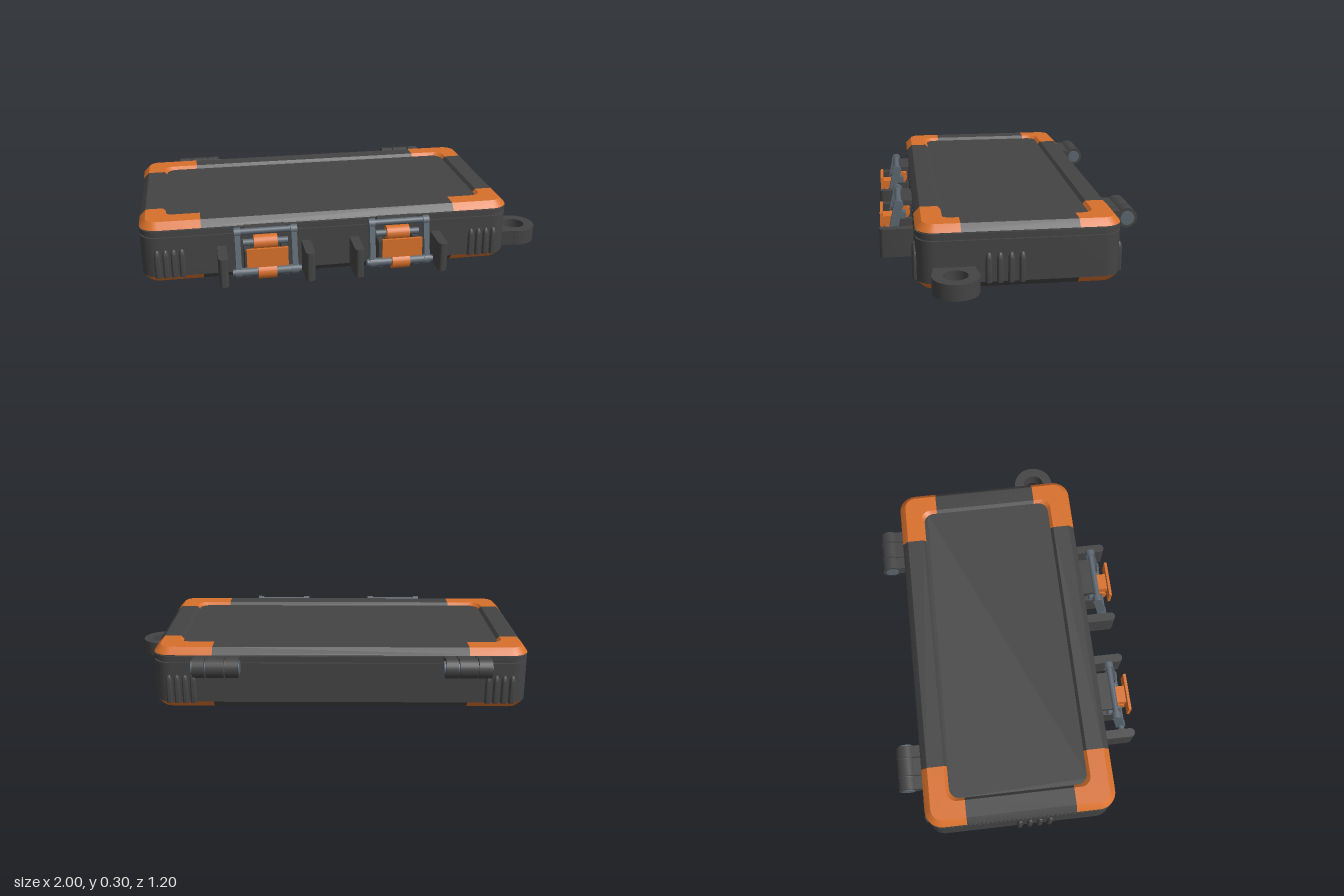
import * as THREE from 'three';
import { toCreasedNormals } from 'three/addons/utils/BufferGeometryUtils.js';

const mat = (name, color) => Object.assign(new THREE.MeshStandardMaterial({ color }), { name });

// Case footprint: centre, half sizes, corner radius, ends of the corner guards
const CX = -0.0925, CZ = -0.02, HW = 0.8925, HD = 0.46, R = 0.085, SX = 0.6075, SZ = 0.263, H = 0.3;
const dark = mat('darkPlastic', 0x444444);
const orange = mat('orangePlastic', 0xd8702b);
const steel = mat('steel', 0x5c6670);

function add(parent, name, geo, material, x = 0, y = 0, z = 0) {
  const m = new THREE.Mesh(geo, material);
  m.name = name;
  m.position.set(x, y, z);
  parent.add(m);
  return m;
}

const box = (w, h, d) => new THREE.BoxGeometry(w, h, d);
const rodX = (r, len) => new THREE.CylinderGeometry(r, r, len, 24).rotateZ(Math.PI / 2);

// Upright extrusion of a plan shape (shape y points to -z)
function upright(shape, h) {
  const g = new THREE.ExtrudeGeometry(shape, { depth: h, bevelEnabled: false, curveSegments: 12 });
  return toCreasedNormals(g.rotateX(-Math.PI / 2), 0.6);
}

// Rounded rectangular layer of the case
function slab(parent, name, y0, y1, inset) {
  const w = HW - inset, d = HD - inset, r = Math.max(R - inset, 0.05);
  const s = new THREE.Shape();
  s.absarc(w - r, d - r, r, 0, Math.PI / 2);
  s.absarc(-w + r, d - r, r, Math.PI / 2, Math.PI);
  s.absarc(-w + r, -d + r, r, Math.PI, Math.PI * 1.5);
  s.absarc(w - r, -d + r, r, Math.PI * 1.5, Math.PI * 2);
  s.closePath();
  add(parent, name, upright(s, y1 - y0), dark, CX, y0, CZ);
}

// Rim cross-section: [inset, height]
const RIM = [[0, 0.268], [0.004, 0.274], [0.03, 0.3], [0.112, 0.3], [0.128, 0.283]];

// Plan paths of one rim piece at a given inset
const paths = {
  corner(inset) {
    const r = Math.max(R - inset, 0.05), w = HW - inset, d = HD - inset;
    const pts = [[w, SZ]];
    for (let i = 0; i <= 10; i++) {
      const a = (i / 10) * Math.PI / 2;
      pts.push([w - r + r * Math.cos(a), d - r + r * Math.sin(a)]);
    }
    pts.push([SX, d]);
    return pts;
  },
  side: (inset) => [[HW - inset, -SZ], [HW - inset, SZ]],
  long: (inset) => [[SX, HD - inset], [-SX, HD - inset]],
};

// Sweep the rim section along a path, mirrored by sx, sz and upside down for the base
function rimPiece(path, sx, sz, top) {
  const rows = RIM.map(([inset, y]) => path(inset).map(([x, z]) => [x * sx, top ? y : H - y, z * sz]));
  const n = rows[0].length, index = [];
  const flip = sx * sz * (top ? 1 : -1) < 0;
  for (let j = 0; j < rows.length - 1; j++) {
    for (let i = 0; i < n - 1; i++) {
      const a = j * n + i, b = a + n, c = a + 1, d = b + 1;
      index.push(...(flip ? [a, c, b, b, c, d] : [a, b, c, b, d, c]));
    }
  }
  const g = new THREE.BufferGeometry();
  g.setAttribute('position', new THREE.Float32BufferAttribute(rows.flat(2), 3));
  g.setIndex(index);
  g.computeVertexNormals();
  return toCreasedNormals(g, 0.5);
}

function createRim(top) {
  const g = new THREE.Group();
  g.name = top ? 'lidRim' : 'baseRim';
  for (const s of [-1, 1]) {
    add(g, 'rimSide', rimPiece(paths.side, s, 1, top), dark, CX, 0, CZ);
    add(g, 'rimLong', rimPiece(paths.long, 1, s, top), dark, CX, 0, CZ);
    for (const t of [-1, 1]) add(g, 'cornerGuard', rimPiece(paths.corner, s, t, top), orange, CX, 0, CZ);
  }
  return g;
}

// Pointed grip ribs set half into the walls
function createRibs() {
  const g = new THREE.Group();
  g.name = 'gripRibs';
  const profile = [[0, 0], [0.015, 0], [0.015, 0.11], [0.012, 0.126], [0.007, 0.137], [0, 0.141]];
  const geo = toCreasedNormals(new THREE.LatheGeometry(profile.map(p => new THREE.Vector2(...p)), 16), 0.8);
  for (const s of [-1, 1]) {
    for (let i = 0; i < 4; i++) {
      add(g, 'sideRib', geo, dark, CX + s * HW, 0.03, -0.028 + i * 0.05);
      for (const t of [-1, 1]) add(g, 'wallRib', geo, dark, CX + s * (0.702 + i * 0.038), 0.03, CZ + t * HD);
    }
  }
  return g;
}

// Ring lug on the left side
function createLug() {
  const s = new THREE.Shape();
  s.moveTo(-0.12, -0.09);
  s.lineTo(-0.03, -0.1);
  s.absarc(0, 0, 0.105, -Math.PI * 0.59, Math.PI * 0.59);
  s.lineTo(-0.12, 0.09);
  s.closePath();
  s.holes.push(new THREE.Path().absarc(0, 0, 0.055, 0, Math.PI * 2, true));
  return upright(s, 0.075);
}

// Front guard fin with a rounded nose
function createFin() {
  const s = new THREE.Shape();
  s.moveTo(-0.022, 0.02);
  s.lineTo(-0.022, -0.133);
  s.absarc(0, -0.133, 0.022, Math.PI, Math.PI * 2);
  s.lineTo(0.022, 0.02);
  s.closePath();
  return upright(s, 0.14);
}

function createHinge(x) {
  const g = new THREE.Group();
  g.name = 'hinge';
  g.position.set(x, 0.233, -0.55);
  for (const [dx, w] of [[-0.078, 0.062], [0, 0.084], [0.076, 0.056]]) {
    add(g, 'hingeBarrel', rodX(0.048, w), dark, dx);
    add(g, 'hingeArm', box(w, 0.06, 0.09), dark, dx, 0.005, 0.045);
  }
  add(g, 'hingePin', rodX(0.033, 0.226), steel);
  return g;
}

function createLatch(x) {
  const g = new THREE.Group();
  g.name = 'latch';
  g.position.x = x;
  // Lid hook and base bracket
  add(g, 'lidHook', box(0.19, 0.024, 0.07), dark, 0, 0.258, 0.465);
  for (const s of [-1, 1]) {
    add(g, 'bracketCheek', box(0.028, 0.13, 0.11), dark, s * 0.087, 0.115, 0.49);
    // Tilted steel links with rounded ends
    const link = add(g, 'sideLink', box(0.026, 0.18, 0.042), steel, s * 0.131, 0.168, 0.527);
    link.rotation.x = -0.22;
    add(g, 'linkTop', rodX(0.024, 0.03), steel, s * 0.131, 0.262, 0.506);
    add(g, 'linkFoot', rodX(0.026, 0.03), steel, s * 0.131, 0.08, 0.547);
    add(g, 'pinCap', rodX(0.016, 0.02), steel, s * 0.15, 0.08, 0.55);
  }
  add(g, 'topPin', rodX(0.015, 0.27), steel, 0, 0.265, 0.506);
  add(g, 'lowerPin', rodX(0.02, 0.27), steel, 0, 0.08, 0.55);
  add(g, 'middlePin', rodX(0.016, 0.21), steel, 0, 0.2, 0.485);
  // Orange lever
  add(g, 'leverBarrel', rodX(0.035, 0.11), orange, 0, 0.2, 0.485);
  add(g, 'leverKnuckle', rodX(0.037, 0.085), orange, 0, 0.082, 0.55);
  add(g, 'leverArm', box(0.085, 0.045, 0.09), orange, 0, 0.155, 0.545);
  add(g, 'leverPlate', box(0.19, 0.09, 0.014), orange, 0, 0.166, 0.589);
  return g;
}

export function createModel() {
  const model = new THREE.Group();
  model.name = 'ruggedCase';

  // Layers of the base and lid
  slab(model, 'baseShell', 0.032, 0.229, 0);
  slab(model, 'seal', 0.229, 0.237, 0.01);
  slab(model, 'lidShell', 0.237, 0.262, 0);
  slab(model, 'lidGroove', 0.262, 0.27, 0.008);
  slab(model, 'lidPanel', 0.262, 0.285, 0.115);
  slab(model, 'basePanel', 0.015, 0.04, 0.115);
  model.add(createRim(true), createRim(false), createRibs());

  add(model, 'ringLug', createLug(), dark, 0.893, 0.033, 0.275);
  for (const x of [-0.61, -0.21, 0.022, 0.424]) add(model, 'guardFin', createFin(), dark, x, 0.031, 0.445);
  for (const x of [-0.68, 0.49]) model.add(createHinge(x));
  for (const x of [-0.408, 0.223]) model.add(createLatch(x));
  return model;
}
